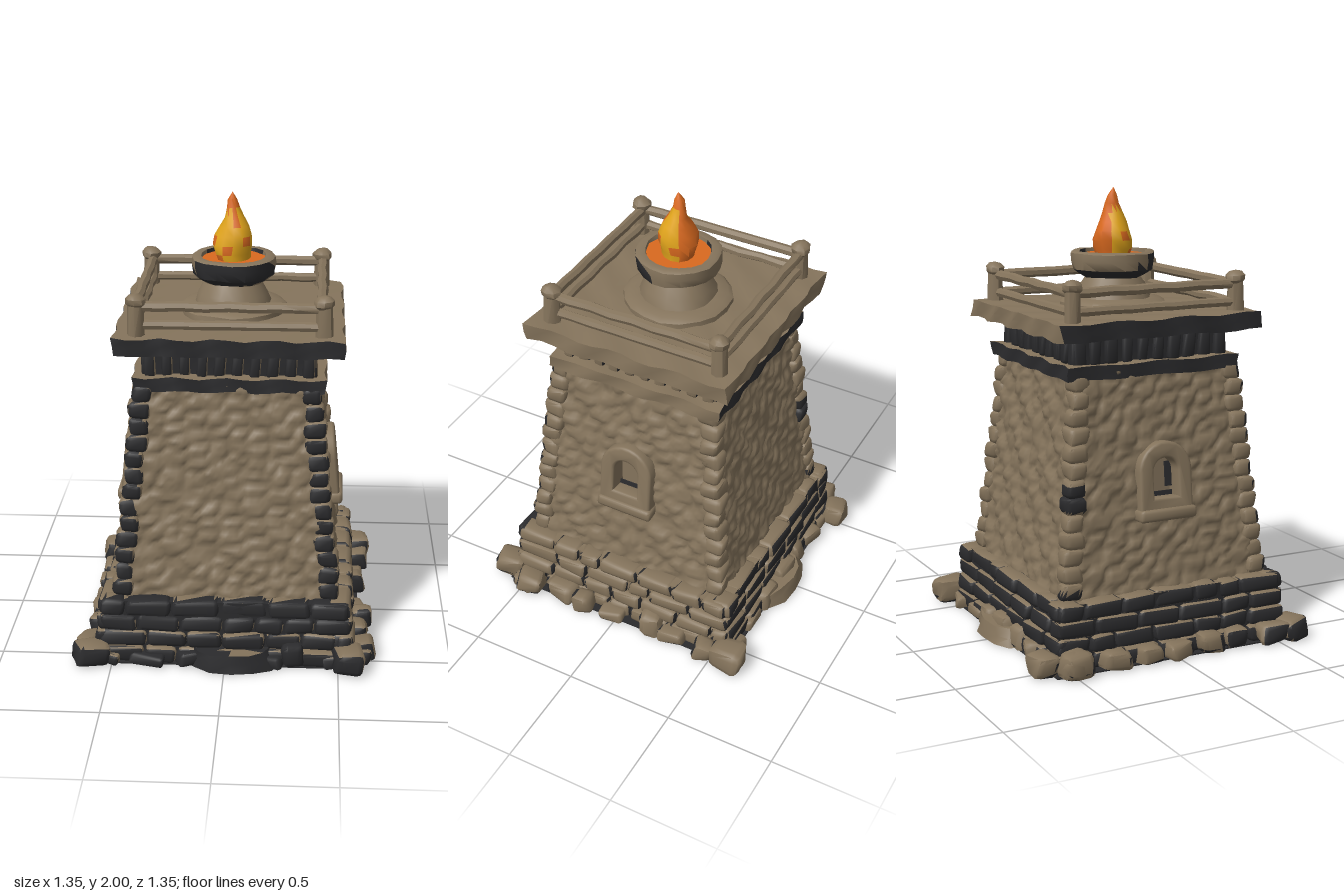
import * as THREE from 'three';
import { mergeGeometries, mergeVertices, toCreasedNormals } from 'three/addons/utils/BufferGeometryUtils.js';
import { RoundedBoxGeometry } from 'three/addons/geometries/RoundedBoxGeometry.js';

const material = (name, color) => {
  const m = new THREE.MeshStandardMaterial({ color });
  m.name = name;
  return m;
};

export function createModel() {
  const stone = material('tan stone', 0x85745c);
  const sooty = material('charcoal stone', 0x2b2b2d);
  const yellow = material('flame yellow', 0xe2a51c);
  const orange = material('ember orange', 0xd9691f);
  const model = new THREE.Group();

  let seed = 7;
  const rnd = (a = 0, b = 1) => {
    seed = (seed * 16807) % 2147483647;
    return a + (b - a) * seed / 2147483647;
  };
  const hash = (a, b) => { const s = Math.sin(a * 127.1 + b * 311.7) * 43758.5453; return s - Math.floor(s); };

  // Nudge every vertex by a position-based wobble, then keep only sharp edges
  function rough(geo, amp, crease = 0.75) {
    geo.deleteAttribute('normal');
    geo.deleteAttribute('uv');
    const g = mergeVertices(geo, 1e-4), p = g.attributes.position;
    for (let i = 0; i < p.count; i++) {
      const x = p.getX(i), y = p.getY(i), z = p.getZ(i);
      p.setXYZ(i, x + amp * Math.sin(31 * y + 23 * z + 5 * x), Math.max(0, y + 0.6 * amp * Math.sin(27 * x + 19 * z)),
        z + amp * Math.sin(29 * x + 37 * y + 2));
    }
    g.computeVertexNormals();
    return toCreasedNormals(g, crease);
  }

  // Split the triangles between two flat colours by a rule on normal and centre
  function add(name, geo, rule, mats = [stone, sooty], parent = model) {
    const p = geo.attributes.position, lists = [[], []];
    const t = new THREE.Triangle(), n = new THREE.Vector3(), c = new THREE.Vector3();
    for (let i = 0; i < p.count; i += 3) {
      t.setFromAttributeAndIndices(p, i, i + 1, i + 2);
      t.getNormal(n);
      t.getMidpoint(c);
      lists[rule(n, c) ? 1 : 0].push(i, i + 1, i + 2);
    }
    geo.setIndex([...lists[0], ...lists[1]]);
    geo.addGroup(0, lists[0].length, 0);
    geo.addGroup(lists[0].length, lists[1].length, 1);
    const mesh = new THREE.Mesh(geo, mats);
    mesh.name = name;
    parent.add(mesh);
    return mesh;
  }

  const rock = (w, h, d, x, y, z, turn = 0, amp = 0.008) =>
    rough(new RoundedBoxGeometry(w, h, d, 1, Math.min(w, h, d) * 0.28).rotateY(turn).translate(x, y, z), amp, 0.9);
  const slab = (w, h, d, y, amp = 0.006) => rough(new THREE.BoxGeometry(w, h, d, 14, 2, 14).translate(0, y, 0), amp, 0.6);
  const front = n => n.z > 0.5;
  const never = () => false;
  const half = y => 0.49 - 0.103 * (y - 0.3);

  // Four battered walls of rounded rubble, with a recess for each side window
  function wall(side) {
    const geo = new THREE.PlaneGeometry(1, 1, 56, 56), p = geo.attributes.position;
    for (let i = 0; i < p.count; i++) {
      const y = 0.27 + 0.98 * (p.getY(i) + 0.5), h = half(y), x = p.getX(i) * 2 * h;
      const u = x * 11 + side * 40, v = y * 15;
      let d1 = 9, d2 = 9;
      for (let a = -1; a <= 1; a++) for (let b = -1; b <= 1; b++) {
        const cu = Math.floor(u) + a, cv = Math.floor(v) + b;
        const d = Math.hypot(cu + hash(cu, cv) - u, cv + hash(cv, cu + 9) - v);
        if (d < d1) { d2 = d1; d1 = d; } else if (d < d2) d2 = d;
      }
      const edge = Math.min(1, Math.abs(h - Math.abs(x)) * 20);
      let z = h - 0.012 + edge * (0.016 * Math.min(1, (d2 - d1) * 2.5) + 0.006 * Math.sin(u * 2.3 + v * 1.7));
      if (side % 2 && Math.abs(x) < 0.09 && y > 0.66 && y < 0.89) z = 0.4;
      p.setXYZ(i, x, y, z);
    }
    geo.computeVertexNormals();
    geo.rotateY(side * Math.PI / 2);
    const mesh = new THREE.Mesh(geo, stone);
    mesh.name = 'rubbleWall';
    model.add(mesh);
  }
  for (let s = 0; s < 4; s++) wall(s);

  // Corner stones up the four edges
  const quoins = [];
  for (const sx of [-1, 1]) for (const sz of [-1, 1]) for (let i = 0; i < 13; i++) {
    const y = 0.33 + i * 0.073, c = half(y) - 0.03, w = rnd(0.08, 0.1);
    quoins.push(rock(w, 0.078, rnd(0.08, 0.1), sx * c, y, sz * c, rnd(-0.06, 0.06), 0.005));
  }
  add('cornerStones', mergeGeometries(quoins), (n, c) =>
    c.z > 0 ? n.z > 0.4 : c.x < 0 && hash(Math.floor(c.y * 9), 3) > 0.65);

  // Coursed plinth and loose stones around its foot
  const blocks = [slab(1.08, 0.29, 1.08, 0.145, 0.004)], loose = [];
  for (let s = 0; s < 4; s++) {
    const turn = s * Math.PI / 2;
    for (let row = 0; row < 4; row++) {
      const reach = 0.565 - row * 0.006;
      for (let x = -reach; x < reach - 0.03;) {
        let w = rnd(0.1, 0.22);
        if (x + w > reach - 0.06) w = reach - x;
        blocks.push(rock(w - 0.004, 0.074, 0.1, x + w / 2, 0.037 + row * 0.074, reach - 0.045 + rnd(-0.006, 0.014), 0, 0.005).rotateY(turn));
        x += w;
      }
    }
    for (let i = 0; i < 7; i++) {
      const h = rnd(0.05, 0.12), out = s % 2 ? rnd(0.57, 0.615) : rnd(0.54, 0.565);
      loose.push(rock(rnd(0.09, 0.15), h, 0.1, -0.48 + i * 0.16 + rnd(-0.03, 0.03), h / 2, out, rnd(-0.3, 0.3)).rotateY(turn));
    }
  }
  const sootyBase = (n, c) => (n.y < -0.5 && c.y < 0.06) || n.z > 0.4 || n.x < -0.5 || n.z < -0.6 || (c.z > 0.5 && c.y > 0.2 && Math.abs(c.x) < 0.54);
  add('plinthBlocks', mergeGeometries(blocks), sootyBase);

  // Big corner boulders and the flat slabs at front and back
  for (const [x, z, w, d, h, t] of [[-0.59, 0.575, 0.15, 0.13, 0.1, 0.3], [0.545, 0.59, 0.13, 0.15, 0.11, 0.05],
    [0.6, -0.585, 0.13, 0.16, 0.12, 0], [-0.52, -0.615, 0.13, 0.11, 0.1, 0.1], [0.6, 0.46, 0.12, 0.13, 0.09, 0.2],
    [-0.6, -0.5, 0.12, 0.12, 0.11, 0.2]])
    loose.push(rock(w, h, d, x, h / 2, z, t));
  for (const s of [-1, 1]) {
    loose.push(rough(new THREE.CylinderGeometry(0.17, 0.2, 0.08, 12, 2).scale(1, 1, 0.55).translate(0.03, 0.04, s * 0.55), 0.008));
  }
  add('footStones', mergeGeometries(loose), (n, c) => (n.y < -0.5 && c.y < 0.05) || n.z > 0.45 ||
    (c.z > 0.5 && Math.abs(c.x) < 0.45 && hash(Math.floor(c.x * 9), 2) > 0.3) || (n.x < -0.6 && c.z > 0.2));
  const underside = new THREE.Mesh(new THREE.BoxGeometry(1.2, 0.006, 1.16).translate(0, 0.003, 0), sooty);
  underside.name = 'underside';
  model.add(underside);

  // Arched window frames on both sides
  const arch = (P, w, bottom, spring) => {
    const s = new P();
    s.moveTo(-w, bottom);
    s.lineTo(w, bottom);
    s.lineTo(w, spring);
    s.absarc(0, spring, w, 0, Math.PI, false);
    s.closePath();
    return s;
  };
  for (const s of [1, -1]) {
    const win = new THREE.Group();
    win.name = 'window';
    const shape = arch(THREE.Shape, 0.115, -0.155, 0.045);
    shape.holes.push(arch(THREE.Path, 0.072, -0.085, 0.04));
    const frame = new THREE.ExtrudeGeometry(shape, { depth: 0.08, bevelSize: 0.012, bevelThickness: 0.012, bevelSegments: 2, curveSegments: 10 });
    frame.deleteAttribute('uv');
    const mesh = new THREE.Mesh(toCreasedNormals(frame, 0.8), stone);
    mesh.name = 'windowFrame';
    mesh.position.z = -0.065;
    win.add(mesh);
    const sill = new THREE.Mesh(rock(0.27, 0.055, 0.08, 0, 0.2, 0, 0, 0.004).translate(0, -0.345, 0), stone);
    sill.name = 'windowSill';
    win.add(sill);
    // Soot in the recess
    for (const [w, h, x, y] of [[0.045, 0.11, 0.05, 0.02], [0.14, 0.035, 0, -0.07]]) {
      const patch = new THREE.Mesh(new THREE.BoxGeometry(w, h, 0.006), sooty);
      patch.name = 'sootPatch';
      patch.position.set(x, y, -0.045);
      win.add(patch);
    }
    win.position.set(s * 0.458, 0.765, 0);
    win.rotation.set(-0.1, s * Math.PI / 2, 0, 'YXZ');
    model.add(win);
  }

  // Ledge, frieze with corbels and the overhanging deck
  const top = new THREE.Group();
  top.name = 'towerTop';
  top.position.set(0.008, 0, -0.012);
  model.add(top);
  const pair = [stone, sooty];
  const frontBack = n => Math.abs(n.z) > 0.5;
  add('ledge', slab(0.83, 0.06, 0.83, 1.25, 0.007), frontBack, pair, top);
  const frieze = [slab(0.71, 0.14, 0.71, 1.34, 0.003)];
  for (let s = 0; s < 4; s++) for (let i = 0; i < 10; i++)
    frieze.push(rock(rnd(0.045, 0.06), 0.125, 0.05, -0.342 + i * 0.076, 1.335, 0.352, 0, 0.004).rotateY(s * Math.PI / 2));
  add('corbelFrieze', mergeGeometries(frieze), n => Math.abs(n.z) > 0.5 || n.x < -0.6, pair, top);
  add('deck', slab(0.975, 0.075, 0.965, 1.435, 0.008), front, pair, top);

  // Railing: four capped posts and two rails a side
  const rail = 0.405;
  for (let s = 0; s < 4; s++) {
    const side = new THREE.Group();
    side.name = 'railing';
    side.rotation.y = s * Math.PI / 2;
    const part = (name, geo) => add(name, geo, never, pair, side);
    part('post', rough(new THREE.CylinderGeometry(0.034, 0.038, 0.16, 8).translate(rail, 1.54, rail - 0.01), 0.003));
    part('postCap', rough(new THREE.SphereGeometry(0.046, 8, 5).scale(1, 0.75, 1).translate(rail, 1.617, rail - 0.01), 0.004));
    for (const [y, r] of [[1.592, 0.023], [1.512, 0.021]])
      part('rail', rough(new THREE.CylinderGeometry(r, r, 2 * rail, 7, 8).rotateZ(Math.PI / 2).translate(0, y, rail - 0.01), 0.003));
    top.add(side);
  }

  // Fire bowl on a stepped pedestal
  const lathe = (pts, n, amp) => rough(new THREE.LatheGeometry(pts.map(q => new THREE.Vector2(...q)), n), amp);
  const bowl = lathe([[0.24, 1.465], [0.238, 1.495], [0.215, 1.51], [0.17, 1.515], [0.155, 1.555], [0.125, 1.605],
    [0.155, 1.622], [0.18, 1.64], [0.188, 1.68], [0.186, 1.712], [0.172, 1.72], [0.145, 1.718], [0.138, 1.69]], 18, 0.004);
  add('fireBowl', bowl, (n, c) => c.y > 1.61 && n.y < 0.5 && (n.z > 0.35 || (n.y < -0.55 && n.x < 0.3)), pair, top);
  const embers = new THREE.Mesh(new THREE.CylinderGeometry(0.145, 0.145, 0.02, 10), orange);
  embers.name = 'embers';
  embers.position.y = 1.694;
  top.add(embers);

  // Flame with orange licks
  const flame = lathe([[0.072, 1.69], [0.08, 1.73], [0.087, 1.77], [0.08, 1.81], [0.063, 1.85], [0.042, 1.89],
    [0.029, 1.93], [0.021, 1.965], [0, 2]], 12, 0.005);
  add('flame', flame, (n, c) => c.y > 1.935 || n.z < -0.55 ||
    hash(Math.floor(c.y * 22), Math.floor(Math.atan2(c.x, c.z) * 1.9)) > 0.78, [yellow, orange], top);

  return model;
}
